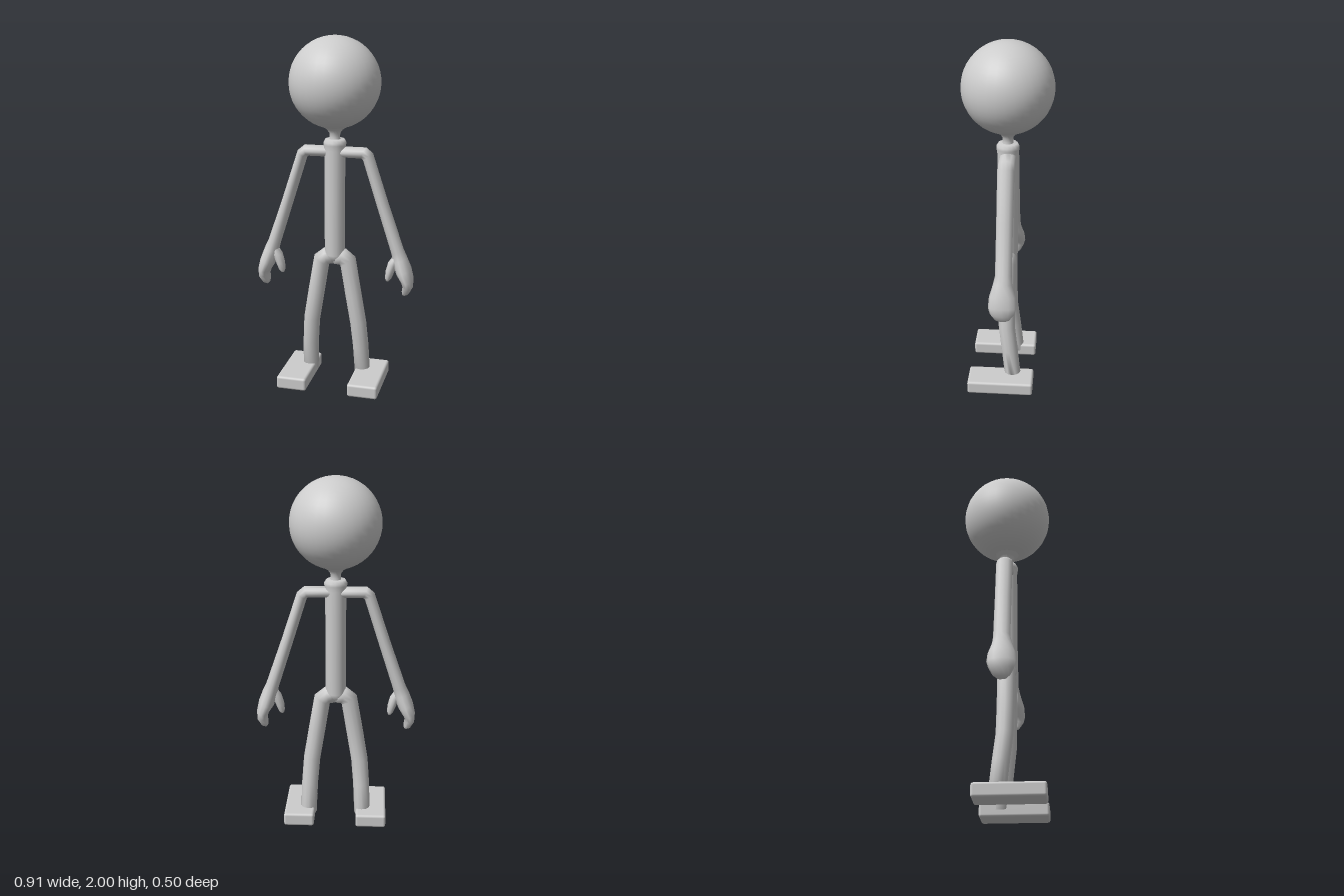
import * as THREE from 'three';
import { RoundedBoxGeometry } from 'three/addons/geometries/RoundedBoxGeometry.js';

const SIDES = 12;

// Smooth limb through rows of [x, y, z, half width, half depth]; the path bends in the xy plane
function limb(rows, side) {
  const pts = rows.map((r) => new THREE.Vector2(r[0] * side, r[1]));
  const pos = [], idx = [];
  const dir = (i) => pts[i + 1].clone().sub(pts[i]).normalize();
  rows.forEach(([, , z, a, b], i) => {
    const before = dir(Math.max(i - 1, 0));
    const after = dir(Math.min(i, rows.length - 2));
    const t = before.clone().add(after).normalize();
    const wide = a / Math.max(t.dot(before), 0.6);
    for (let j = 0; j < SIDES; j++) {
      const q = (j / SIDES) * Math.PI * 2;
      const c = Math.cos(q) * wide;
      pos.push(pts[i].x - t.y * c, pts[i].y + t.x * c, z + Math.sin(q) * b);
    }
  });
  for (let i = 0; i < rows.length - 1; i++) {
    for (let j = 0; j < SIDES; j++) {
      const k = (j + 1) % SIDES;
      const p = i * SIDES + j, q = i * SIDES + k;
      idx.push(p, q, p + SIDES, q, q + SIDES, p + SIDES);
    }
  }
  const last = (rows.length - 1) * SIDES;
  for (let j = 1; j < SIDES - 1; j++) {
    idx.push(0, j + 1, j, last, last + j, last + j + 1);
  }
  const g = new THREE.BufferGeometry();
  g.setAttribute('position', new THREE.Float32BufferAttribute(pos, 3));
  g.setIndex(idx);
  g.computeVertexNormals();
  return g;
}

const ARM = [
  [0, 1.37, -0.003, 0.03, 0.045],
  [0.162, 1.37, -0.003, 0.031, 0.046],
  [0.186, 1.35, -0.003, 0.031, 0.046],
  [0.27, 1.09, -0.003, 0.033, 0.045],
  [0.36, 0.82, -0.003, 0.037, 0.045],
  [0.375, 0.775, 0, 0.043, 0.052],
  [0.398, 0.71, 0, 0.045, 0.072],
  [0.42, 0.655, 0, 0.034, 0.076],
  [0.423, 0.62, 0, 0.028, 0.066],
  [0.41, 0.585, 0, 0.022, 0.045],
  [0.4, 0.568, 0, 0.01, 0.02],
];

const THUMB = [
  [0.365, 0.8, 0.005, 0.02, 0.03],
  [0.335, 0.745, 0.008, 0.027, 0.034],
  [0.32, 0.7, 0.01, 0.024, 0.032],
  [0.311, 0.662, 0.01, 0.018, 0.026],
  [0.307, 0.645, 0.01, 0.008, 0.012],
];

const LEG = [
  [0, 0.762, 0, 0.043, 0.048],
  [0.045, 0.764, 0, 0.047, 0.05],
  [0.077, 0.738, 0, 0.047, 0.05],
  [0.11, 0.54, 0, 0.048, 0.048],
  [0.138, 0.37, -0.004, 0.048, 0.047],
  [0.15, 0.22, -0.022, 0.047, 0.047],
  [0.157, 0.04, -0.042, 0.046, 0.047],
];

export function createModel() {
  const model = new THREE.Group();
  const grey = new THREE.MeshStandardMaterial({ color: 0xcccccc });
  grey.name = 'light grey';
  const add = (name, geometry, x = 0, y = 0, z = 0) => {
    const mesh = new THREE.Mesh(geometry, grey);
    mesh.name = name;
    mesh.position.set(x, y, z);
    model.add(mesh);
  };
  const lathe = (profile, sides) =>
    new THREE.LatheGeometry(profile.map(([r, y]) => new THREE.Vector2(r, y)), sides);

  // Head and neck
  add('head', new THREE.SphereGeometry(0.25, 32, 24), 0, 1.75, 0);
  add('neck', lathe([[0.034, 1.42], [0.029, 1.45], [0.03, 1.475], [0.045, 1.495], [0.085, 1.52]], 16));

  // Torso with a slightly wider, bevelled collar
  add('torso', lathe([
    [0, 0.74], [0.045, 0.745], [0.058, 0.78], [0.058, 1.38], [0.063, 1.41],
    [0.063, 1.425], [0.053, 1.442], [0, 1.443],
  ], 16));

  // Paired limbs
  for (const [side, label] of [[1, 'left'], [-1, 'right']]) {
    add(label + 'Arm', limb(ARM, side));
    add(label + 'Thumb', limb(THUMB, side));
    add(label + 'Leg', limb(LEG, side));
    add(label + 'Foot', new RoundedBoxGeometry(0.174, 0.076, 0.376, 3, 0.014), side * 0.208, 0.038, 0.027);
  }
  return model;
}
